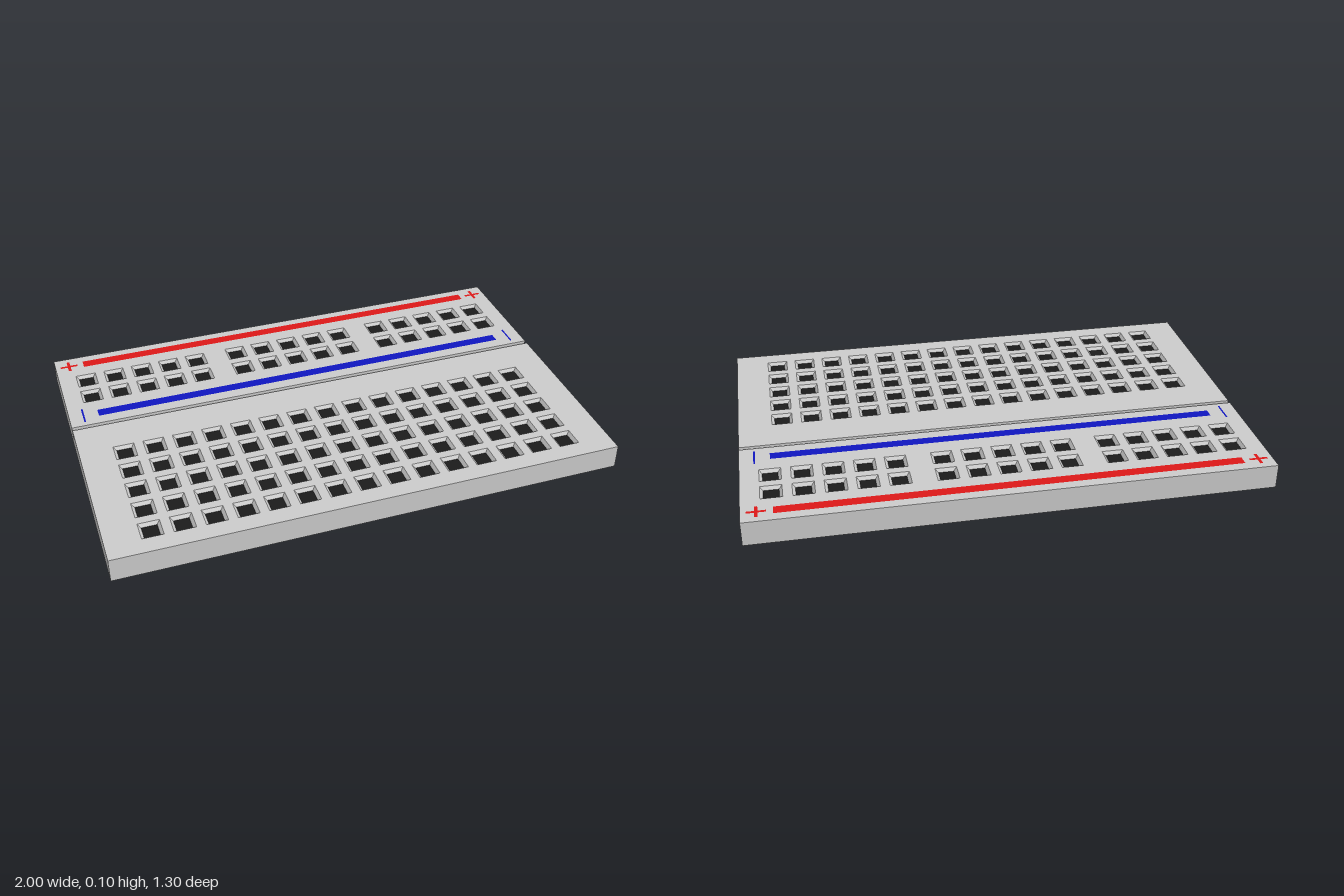
import * as THREE from 'three';
import { mergeGeometries } from 'three/addons/utils/BufferGeometryUtils.js';

const H = 0.097, HALF_X = 1, HALF_Z = 0.65;
const GROOVE = { front: -0.133, back: -0.151, floor: 0.049 };
const PITCH = 0.118, MOUTH = 0.082, SOCKET = 0.059, DEPTH = 0.012;

const material = (color, side = THREE.FrontSide) =>
  new THREE.MeshStandardMaterial({ color, side, flatShading: true });

function add(group, name, geometry, mat) {
  const mesh = new THREE.Mesh(geometry, mat);
  mesh.name = name;
  group.add(mesh);
}

// Centres [x, z] of the sockets
function mainHoles() {
  const list = [];
  for (let row = 0; row < 5; row++)
    for (let col = -7; col <= 7; col++) list.push([col * PITCH, 0.064 + row * PITCH]);
  return list;
}
function railHoles() {
  const list = [];
  for (const z of [-0.468, -0.35])
    for (const centre of [-0.65, 0, 0.65])
      for (let i = -2; i <= 2; i++) list.push([centre + i * PITCH, z]);
  return list;
}

// Walls, underside and groove: side profile swept along x, its top left open for the decks
function bodyGeometry() {
  const profile = new THREE.Shape([
    [-HALF_Z, 0], [HALF_Z, 0], [HALF_Z, H], [-GROOVE.back, H], [-GROOVE.back, GROOVE.floor],
    [-GROOVE.front, GROOVE.floor], [-GROOVE.front, H], [-HALF_Z, H],
  ].map(([a, y]) => new THREE.Vector2(a, y)));
  const swept = new THREE.ExtrudeGeometry(profile, { depth: 2 * HALF_X, bevelEnabled: false })
    .rotateY(Math.PI / 2).translate(-HALF_X, 0, 0);
  const p = swept.attributes.position, kept = [];
  for (let i = 0; i < p.count; i += 3) {
    const corners = [i, i + 1, i + 2];
    if (corners.every((c) => p.getY(c) > H - 1e-4)) continue;
    for (const c of corners) kept.push(p.getX(c), p.getY(c), p.getZ(c));
  }
  const geometry = new THREE.BufferGeometry();
  geometry.setAttribute('position', new THREE.Float32BufferAttribute(kept, 3));
  geometry.computeVertexNormals();
  return geometry;
}

// Flat rectangle outline centred on (x, y)
const rectangle = (x, y, w, h) => [[-1, -1], [1, -1], [1, 1], [-1, 1]]
  .map(([i, j]) => new THREE.Vector2(x + i * w / 2, y + j * h / 2));

// Top surface pierced by the socket mouths
function deckGeometry(zBack, zFront, holes) {
  const shape = new THREE.Shape(
    rectangle(0, -(zBack + zFront) / 2, 2 * HALF_X, zFront - zBack));
  for (const [x, z] of holes)
    shape.holes.push(new THREE.Path(rectangle(x, -z, MOUTH, MOUTH).reverse()));
  return new THREE.ShapeGeometry(shape).rotateX(-Math.PI / 2).translate(0, H, 0);
}

// Horizontal strip
const strip = (x, z, w, d, y = H + 0.001) =>
  new THREE.PlaneGeometry(w, d).rotateX(-Math.PI / 2).translate(x, y, z);

export function createModel() {
  const model = new THREE.Group();
  model.name = 'breadboard';
  const grey = material(0xcccccc);
  const greyInside = material(0xcccccc, THREE.BackSide);
  const black = material(0x1c1c1c);
  const red = material(0xdd1818);
  const blue = material(0x1016c0);

  add(model, 'body', bodyGeometry(), grey);

  // Decks with tapered sockets
  const decks = [
    ['terminal', GROOVE.front, HALF_Z, mainHoles()],
    ['powerRail', -HALF_Z, GROOVE.back, railHoles()],
  ];
  for (const [name, zBack, zFront, holes] of decks) {
    add(model, name + 'Deck', deckGeometry(zBack, zFront, holes), grey);
    const funnels = holes.map(([x, z]) =>
      new THREE.CylinderGeometry(MOUTH * Math.SQRT1_2, SOCKET * Math.SQRT1_2, DEPTH, 4, 1, true)
        .rotateY(Math.PI / 4).translate(x, H - DEPTH / 2, z));
    add(model, name + 'Funnels', mergeGeometries(funnels), greyInside);
    const floors = holes.map(([x, z]) => strip(x, z, SOCKET, SOCKET, H - DEPTH));
    add(model, name + 'Sockets', mergeGeometries(floors), black);
  }

  // Coloured rail stripes
  add(model, 'positiveStripe', strip(0, -0.59, 1.765, 0.042), red);
  add(model, 'negativeStripe', strip(0, -0.219, 1.765, 0.042), blue);

  // Polarity marks at both ends of the stripes
  for (const side of [-1, 1]) {
    const x = side * 0.943;
    add(model, 'positiveMark', mergeGeometries([
      strip(x, -0.59, 0.072, 0.012),
      strip(x, -0.609, 0.012, 0.03),
      strip(x, -0.571, 0.012, 0.03),
    ]), red);
    add(model, 'negativeMark', strip(side * 0.942, -0.219, 0.007, 0.092), blue);
  }
  return model;
}
